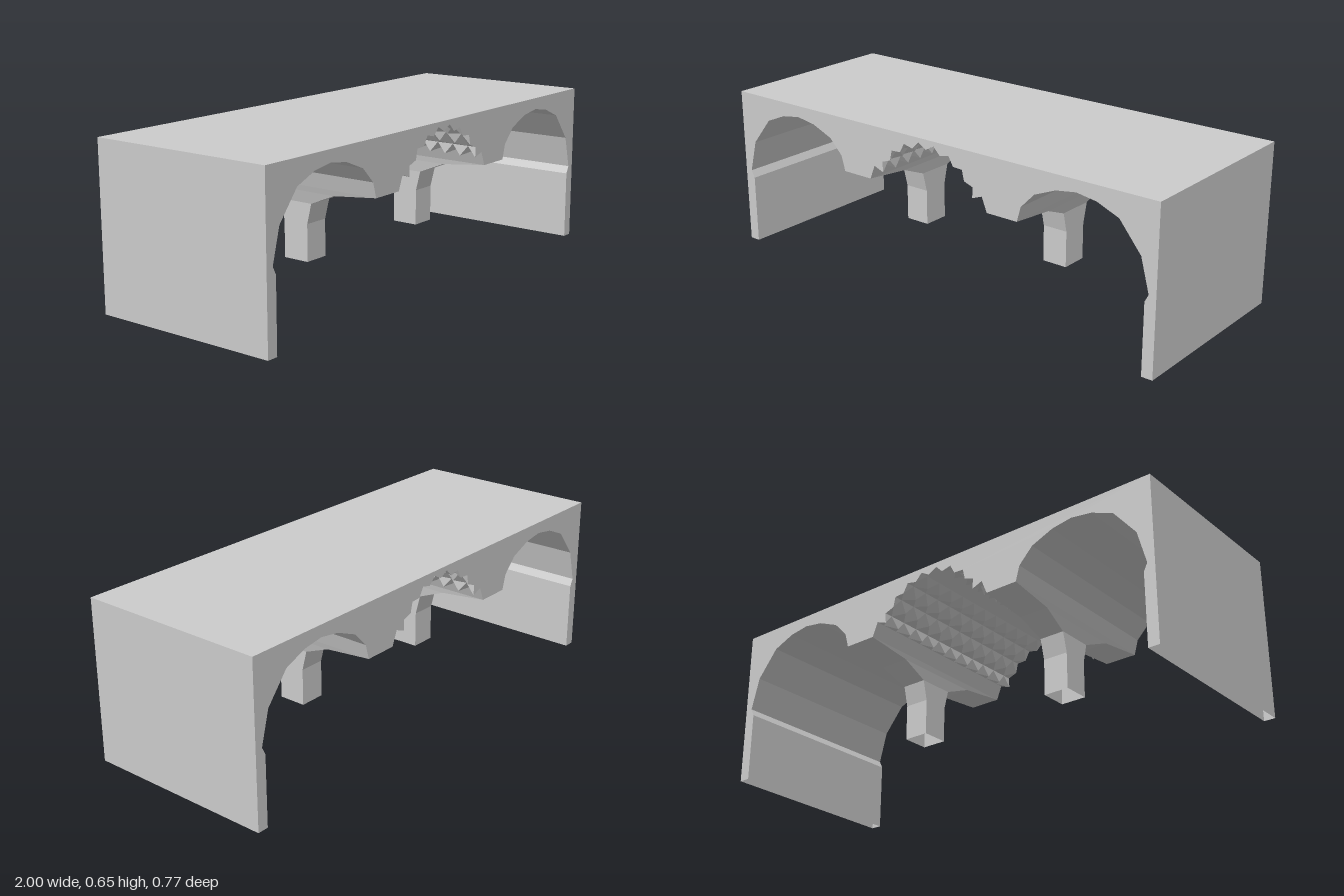
import * as THREE from 'three';

const HALF_Z = 0.387, TOP = 0.646, SPRING = 0.43;
const COLUMNS = 9, ROWS = 11;
const material = new THREE.MeshStandardMaterial({ color: 0xcccccc, flatShading: true, side: THREE.DoubleSide });

function facets(tris) {
  const g = new THREE.BufferGeometry().setFromPoints(tris);
  g.computeVertexNormals();
  return g;
}

function add(parent, name, geometry) {
  const m = new THREE.Mesh(geometry, material);
  m.name = name;
  parent.add(m);
}

// Central vault cross-section: u runs 0..1 from +x to -x at a given radius
function vault(u, radius) {
  const start = 0.31, t = start + (Math.PI - 2 * start) * u;
  return new THREE.Vector2(radius * Math.cos(t), 0.365 + radius * Math.sin(t));
}

// Valleys and tips of the studs; the first and last valleys sit on the vault's ledges
const valleys = [], tips = [];
for (let i = 0; i <= COLUMNS; i++) valleys.push(vault(i / COLUMNS, 0.265));
for (let i = 0; i < COLUMNS; i++) tips.push(vault((i + 0.5) / COLUMNS, 0.242));
valleys[0].set(0.262, 0.487);
valleys[COLUMNS].set(-0.262, 0.487);

// Block with three vaults, extruded front to back, open under the walls and over the piers
function blockGeometry() {
  const side = [[1, TOP], [1, 0], [0.955, 0], [0.955, 0.28], [0.97, 0.31], [0.935, 0.44],
    [0.845, 0.55], [0.755, 0.587], [0.67, 0.6], [0.585, 0.587], [0.495, 0.55],
    [0.437, 0.49], [0.42, SPRING], [0.285, SPRING]];
  const outline = [
    ...side.map(([x, y]) => new THREE.Vector2(x, y)),
    ...valleys,
    ...side.slice().reverse().map(([x, y]) => new THREE.Vector2(-x, y)),
  ];
  const g = new THREE.ExtrudeGeometry(new THREE.Shape(outline), { depth: 2 * HALF_Z, bevelEnabled: false });
  const pos = g.translate(0, 0, -HALF_Z).attributes.position;
  const tris = [];
  for (let i = 0; i < pos.count; i += 3) {
    const t = [0, 1, 2].map((k) => new THREE.Vector3().fromBufferAttribute(pos, i + k));
    const openEnd = [0, SPRING].some((y) => t.every((v) => Math.abs(v.y - y) < 1e-4));
    if (!openEnd) tris.push(...t);
  }
  return facets(tris);
}

// Hollow pier flaring front and back into the shallow cross arches: rectangles stacked in y
function pierGeometry(s) {
  const levels = [ // y, inner x, outer x, half depth
    [0.135, 0.295, 0.40, 0.055], [0.28, 0.295, 0.40, 0.055], [0.36, 0.295, 0.40, 0.075],
    [0.408, 0.289, 0.413, 0.19], [SPRING, 0.285, 0.42, HALF_Z]];
  const rings = levels.map(([y, a, b, d]) => {
    const [x0, x1] = s > 0 ? [a, b] : [-b, -a];
    return [[x0, d], [x1, d], [x1, -d], [x0, -d]].map(([x, z]) => new THREE.Vector3(x, y, z));
  });
  const tris = [];
  for (let i = 0; i < rings.length - 1; i++) {
    const p = rings[i], q = rings[i + 1];
    for (let j = 0; j < 4; j++) {
      const k = (j + 1) % 4;
      tris.push(p[j], p[k], q[k], p[j], q[k], q[j]);
    }
  }
  return facets(tris);
}

// Small pyramids hanging from the central vault, cut in half at the front and back faces
function studGeometry() {
  const tris = [], step = (2 * HALF_Z) / ROWS;
  for (let i = 0; i < COLUMNS; i++) {
    const p = valleys[i], q = valleys[i + 1];
    for (let j = 0; j <= ROWS; j++) {
      const z = -HALF_Z + j * step;
      const z0 = Math.max(z - step / 2, -HALF_Z), z1 = Math.min(z + step / 2, HALF_Z);
      const c = [[p, z0], [p, z1], [q, z1], [q, z0]].map(([v, d]) => new THREE.Vector3(v.x, v.y, d));
      const tip = new THREE.Vector3(tips[i].x, tips[i].y, z);
      for (let k = 0; k < 4; k++) tris.push(c[k], c[(k + 1) % 4], tip);
    }
  }
  return facets(tris);
}

export function createModel() {
  const model = new THREE.Group();
  model.name = 'vaultedHall';
  add(model, 'vaultBlock', blockGeometry());
  add(model, 'ceilingStuds', studGeometry());
  add(model, 'leftPier', pierGeometry(1));
  add(model, 'rightPier', pierGeometry(-1));
  return model;
}
